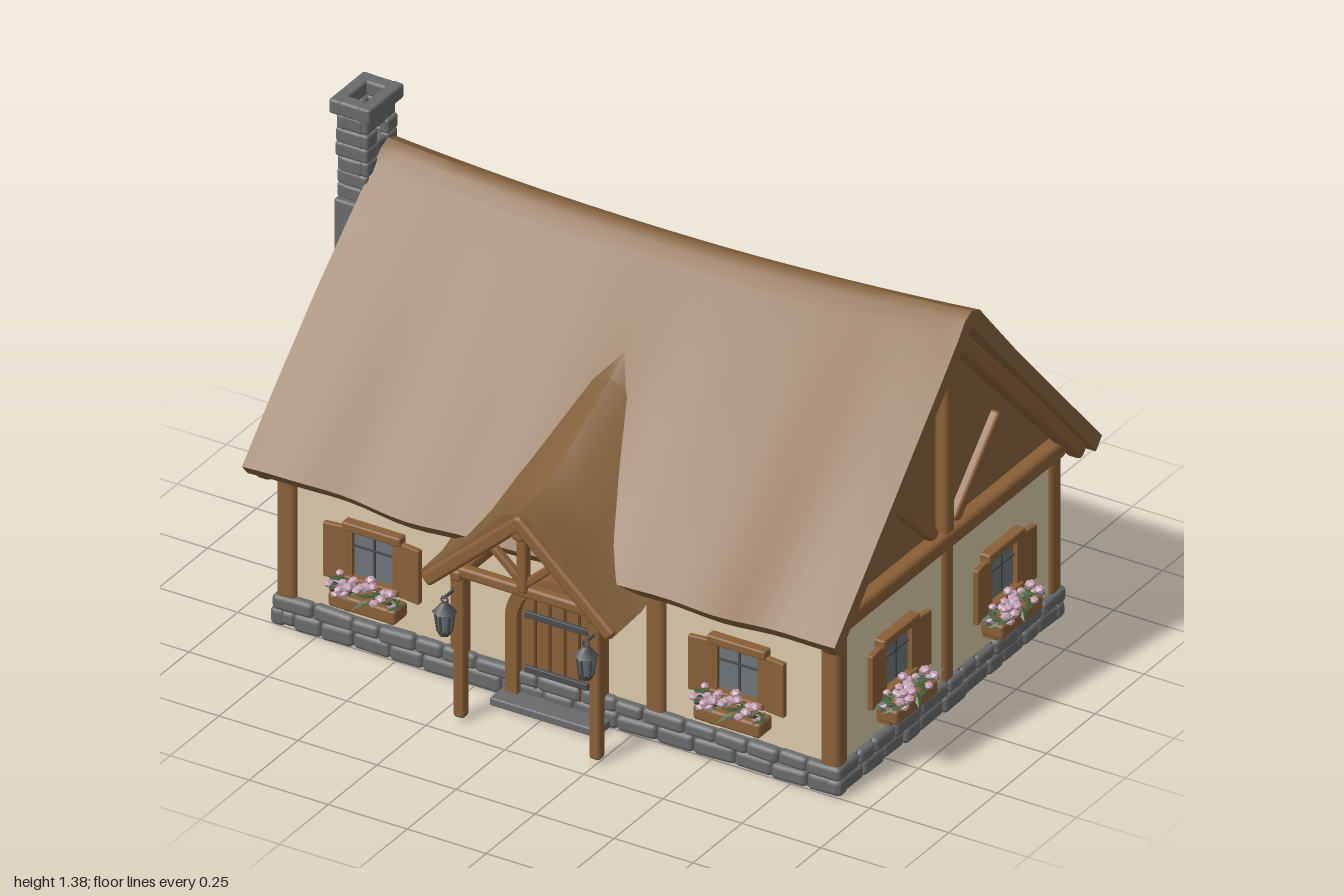
import * as THREE from 'three';
import { mergeGeometries, toCreasedNormals } from 'three/addons/utils/BufferGeometryUtils.js';
import { RoundedBoxGeometry } from 'three/addons/geometries/RoundedBoxGeometry.js';

const mat = (name, color) => Object.assign(new THREE.MeshStandardMaterial({ color }), { name });
const thatch = mat('thatch', 0x84623d), timber = mat('timber', 0x895f37), plaster = mat('plaster', 0xdac9a8);
const stone = mat('stone', 0x686b6a), iron = mat('iron', 0x494c4d), darkWood = mat('dark wood', 0x5f4228);
const glass = mat('glass', 0x6c767b), petal = mat('petals', 0xc3a0b2), leaf = mat('leaves', 0x435a38);

let seed = 7;
const rand = (a = 0, b = 1) => { seed = (seed * 16807) % 2147483647; return a + (b - a) * seed / 2147483647; };
const V = (x, y, z) => new THREE.Vector3(x, y, z);
const UP = V(0, 1, 0);

function add(parent, name, geo, material, x = 0, y = 0, z = 0) {
  const m = new THREE.Mesh(geo, material);
  m.name = name;
  m.position.set(x, y, z);
  parent.add(m);
  return m;
}
const rbox = (w, h, d, r = 0.2) => new RoundedBoxGeometry(w, h, d, 2, Math.min(w, h, d) * r);
const box = (w, h, d) => new THREE.BoxGeometry(w, h, d);

// squared log between two points
function beam(parent, name, a, b, w, d, material = timber) {
  const m = add(parent, name, rbox(w, a.distanceTo(b), d, 0.28), material);
  m.position.copy(a).add(b).multiplyScalar(0.5);
  m.quaternion.setFromUnitVectors(UP, b.clone().sub(a).normalize());
  return m;
}

// closed loop swept through sections, with both ends capped
function loft(sections, loop2d) {
  const pos = [], n = loop2d.length, last = sections.length - 1;
  const tri = (...p) => p.forEach(v => pos.push(v.x, v.y, v.z));
  for (let i = 0; i < last; i++) for (let j = 0; j < n; j++) {
    const k = (j + 1) % n, s = sections[i], t = sections[i + 1];
    tri(s[j], t[j], t[k]);
    tri(s[j], t[k], s[k]);
  }
  const dir = sections[last][0].clone().sub(sections[0][0]);
  for (const f of THREE.ShapeUtils.triangulateShape(loop2d, [])) {
    for (const [s, sign] of [[sections[0], -1], [sections[last], 1]]) {
      const [a, b, c] = f.map(i => s[i]);
      const normal = b.clone().sub(a).cross(c.clone().sub(a));
      normal.dot(dir) * sign > 0 ? tri(a, b, c) : tri(a, c, b);
    }
  }
  const g = new THREE.BufferGeometry();
  g.setAttribute('position', new THREE.Float32BufferAttribute(pos, 3));
  return toCreasedNormals(g, 0.75);
}

function mainRoof(parent) {
  const prof = [[.575, .5], [.605, .535], [.45, .7], [.25, .915], [.1, 1.075], [0, 1.185], [-.035, 1.23], [-.07, 1.245],
    [-.11, 1.23], [-.15, 1.185], [-.3, 1.02], [-.5, .81], [-.765, .535], [-.735, .5], [-.5, .752], [-.07, 1.195], [.3, .8]]
    .map(p => new THREE.Vector2(...p));
  const sections = [];
  for (let i = 0; i <= 36; i++) {
    const u = i / 36;
    sections.push(prof.map(p => {
      const t = (p.y - .5) / .75, x = THREE.MathUtils.lerp(-.92 + .045 * t * t, .95 + .022 * t, u);
      const wave = Math.sin(x * 8 + (p.x > 0 ? 1 : 3)) + .5 * Math.sin(x * 19);
      const sag = t * (-.035 + .05 * x * x + .008 * x);
      return V(x, p.y + sag + .007 * wave * (1 - t), p.x + .005 * Math.sin(x * 11) * (1 - t));
    }));
  }
  add(parent, 'mainThatchRoof', loft(sections, prof), thatch);
}

function porch(parent) {
  const g = new THREE.Group();
  g.name = 'porch';
  parent.add(g);
  // thatch that sweeps back up into the main roof
  const prof = [[-.29, -.305], [-.315, -.275], [-.24, -.21], [-.14, -.115], [-.06, -.028], [0, 0], [.06, -.028],
    [.14, -.115], [.24, -.21], [.315, -.275], [.29, -.305], [.14, -.155], [0, -.04], [-.14, -.155]]
    .map(p => new THREE.Vector2(...p));
  const stations = [[.15, .99], [.25, .925], [.35, .872], [.45, .818], [.54, .765], [.6, .742], [.66, .738], [.715, .735]];
  add(g, 'porchThatch', loft(stations.map(([z, y]) => prof.map(p => V(.025 + p.x, y + p.y, z))), prof), thatch);
  for (const s of [-1, 1]) {
    const x = .03 + s * .215;
    beam(g, 'porchRafter', V(.025 - s * .012, .715, .712), V(.025 + s * .295, .44, .712), .042, .04);
    beam(g, 'porchPost', V(x, .02, .675), V(x, .47, .675), .034, .034);
    beam(g, 'porchSideBeam', V(x, .47, .48), V(x, .47, .71), .035, .035);
    beam(g, 'porchBrace', V(.025, .5, .69), V(.025 + s * .1, .59, .69), .024, .024);
    // hanging lantern
    const l = new THREE.Group();
    l.name = 'lantern';
    l.position.set(x + (s < 0 ? -.018 : 0), .29, .73);
    g.add(l);
    add(l, 'lanternBase', new THREE.CylinderGeometry(.022, .016, .015, 6), iron, 0, .012, 0);
    add(l, 'lanternGlass', new THREE.CylinderGeometry(.025, .018, .06, 6), glass, 0, .048, 0);
    for (let i = 0; i < 6; i++) {
      const a = i * Math.PI / 3, sx = Math.sin(a), cz = Math.cos(a);
      beam(l, 'lanternBar', V(sx * .019, .015, cz * .019), V(sx * .027, .08, cz * .027), .006, .006, iron);
    }
    add(l, 'lanternCap', new THREE.CylinderGeometry(.01, .035, .028, 6), iron, 0, .09, 0);
    add(l, 'lanternRing', new THREE.TorusGeometry(.01, .003, 6, 12), iron, 0, .112, 0);
    beam(l, 'lanternHook', V(0, .12, .005), V(0, .12, -.05), .008, .008, iron);
  }
  beam(g, 'porchTieBeam', V(-.2, .48, .685), V(.255, .48, .685), .034, .034);
  beam(g, 'porchKingPost', V(.025, .48, .695), V(.025, .69, .695), .032, .032);
  beam(g, 'porchRidgePole', V(.025, .67, .5), V(.025, .67, .73), .04, .04);
}

// window geometry is built once and shared
const stems = [], blooms = [];
for (let i = 0; i < 26; i++) {
  const l = new THREE.OctahedronGeometry(1).scale(.03, .006, .012).rotateZ(rand(-.7, .7)).rotateY(rand(0, 6.3));
  stems.push(l.translate(rand(-.115, .115), rand(.195, .228), rand(.03, .085)));
}
for (let i = 0; i < 24; i++) {
  const x = rand(-.105, .105), r = rand(.011, .017);
  const f = new THREE.IcosahedronGeometry(r, 0).rotateY(rand(0, 3)).scale(1, .75, 1);
  blooms.push(f.translate(x, rand(.215, .258) - Math.abs(x) * .12, rand(.03, .092)));
}
const leafGeo = mergeGeometries(stems), bloomGeo = mergeGeometries(blooms);

function windowUnit(parent, x, z, turn) {
  const g = new THREE.Group();
  g.name = 'window';
  g.position.set(x, 0, z);
  g.rotation.y = turn;
  parent.add(g);
  add(g, 'pane', box(.14, .16, .008), glass, 0, .31, .004);
  add(g, 'leadUpright', box(.006, .14, .006), iron, 0, .31, .009);
  add(g, 'leadCrossbar', box(.14, .006, .006), iron, 0, .325, .009);
  add(g, 'lintel', rbox(.185, .027, .035), timber, 0, .387, .014);
  add(g, 'sill', rbox(.17, .02, .035), timber, 0, .225, .014);
  for (const s of [-1, 1]) {
    add(g, 'jamb', box(.016, .16, .024), timber, s * .072, .305, .01);
    add(g, 'shutter', rbox(.075, .168, .018), timber, s * .115, .297, .018).rotation.y = -s * .12;
    add(g, 'bracket', box(.014, .03, .04), timber, s * .07, .148, .02);
  }
  add(g, 'flowerBox', rbox(.212, .045, .07), timber, 0, .18, .045);
  add(g, 'leaves', leafGeo, leaf);
  add(g, 'flowers', bloomGeo, petal);
}

function arch(r, base, spring) {
  const s = new THREE.Shape();
  s.moveTo(-r, base).lineTo(r, base).lineTo(r, spring);
  s.absarc(0, spring, r, 0, Math.PI, false);
  return s;
}

function door(parent) {
  const g = new THREE.Group();
  g.name = 'door';
  g.position.set(.013, 0, .48);
  parent.add(g);
  const opts = depth => ({ depth, bevelEnabled: false, curveSegments: 16 });
  const frame = arch(.152, .025, .268);
  frame.holes.push(arch(.115, .026, .268));
  add(g, 'doorFrame', new THREE.ExtrudeGeometry(frame, opts(.045)), timber);
  add(g, 'doorLeaf', new THREE.ExtrudeGeometry(arch(.116, .03, .268), opts(.02)), timber);
  for (const x of [-.07, -.024, .024, .07]) add(g, 'plankGap', box(.008, .31, .004), darkWood, x, .19, .021);
  for (const y of [.115, .285]) add(g, 'hingeStrap', rbox(.2, .02, .012), iron, 0, y, .025);
  add(g, 'doorHandle', new THREE.SphereGeometry(.012, 10, 8), iron, .08, .2, .03);
  add(parent, 'doorStep', rbox(.34, .025, .1), stone, .013, .024, .525);
}

function stoneBase(parent) {
  add(parent, 'plinth', box(1.77, .09, 1.13), stone, .01, .056, -.0725);
  const list = [];
  const row = (from, to, y, h, place) => {
    for (let p = from; p < to - .01;) {
      let w = rand(.07, .14);
      if (to - p - w < .05) w = to - p;
      list.push(place(rbox(w, h + rand(-.004, .006), .045, .32).rotateZ(rand(-.04, .04)).translate(p + w / 2, y, rand(-.005, .004))));
      p += w;
    }
  };
  for (const [y, h] of [[.036, .05], [.08, .045]]) {
    row(-.89, .91, y, h, q => q.translate(0, 0, .488));
    row(-.89, .91, y, h, q => q.translate(0, 0, -.633));
    row(-.51, .65, y, h, q => q.rotateY(Math.PI / 2).translate(.888, 0, 0));
    row(-.51, .65, y, h, q => q.rotateY(Math.PI / 2).translate(-.868, 0, 0));
  }
  add(parent, 'foundationStones', mergeGeometries(list), stone);
}

function chimney(parent) {
  const g = new THREE.Group();
  g.name = 'chimney';
  g.position.set(-.928, 0, -.042);
  parent.add(g);
  add(g, 'chimneyStack', rbox(.1, 1.075, .19, .08), stone, .004, .545, 0);
  // hollow stone shaft with a small vent
  const list = [];
  for (let r = 0; r < 6; r++) {
    const y = 1.1 + r * .043;
    for (const s of [-1, 1]) {
      for (const k of [-1, 0, 1]) {
        if (k === 0 && r === 4) continue;
        list.push(rbox(.03, .045, .055, .3).translate(s * (.034 + rand(-.003, .004)), y, k * .05 + rand(-.004, .004)));
      }
      list.push(rbox(.07, .045, .03, .3).translate(rand(-.006, .006), y, s * (.062 + rand(-.003, .004))));
    }
  }
  add(g, 'chimneyStones', mergeGeometries(list), stone);
  for (const s of [-1, 1]) {
    add(g, 'capLong', rbox(.038, .045, .18), stone, s * .046, 1.362, 0);
    add(g, 'capShort', rbox(.07, .045, .045), stone, 0, 1.362, s * .067);
  }
}

function gable(parent, x, s) {
  const g = new THREE.Group();
  g.name = 'gableTruss';
  parent.add(g);
  beam(g, 'tieBeam', V(x, .535, .51), V(x, .535, -.655), .055, .055);
  beam(g, 'kingPost', V(x, .55, -.068), V(x, 1.15, -.068), .045, .046);
  for (const [zEnd, zTop, zLow] of [[.565, .21, -.02], [-.72, -.35, -.12]]) {
    beam(g, 'rakeBeam', V(x + s * .022, 1.165, -.07), V(x + s * .022, .495, zEnd), .05, .056);
    beam(g, 'brace', V(x - s * .008, .56, zLow), V(x - s * .008, .785, zTop), .035, .04);
  }
  beam(g, 'ridgePole', V(x - s * .1, 1.14, -.07), V(x + s * .055, 1.14, -.07), .055, .055);
  // patch of bare plaster
  const patch = new THREE.Shape([[.27, .56], [.46, .56], [.42, .615], [.37, .66], [.35, .6]].map(p => new THREE.Vector2(...p)));
  const m = add(g, 'plasterPatch', new THREE.ExtrudeGeometry(patch, { depth: .006, bevelEnabled: false }), plaster, x - s * .027, 0, -.07);
  m.rotation.y = s * Math.PI / 2;
}

export function createModel() {
  const house = new THREE.Group();
  house.name = 'cottage';
  add(house, 'plasterWalls', box(1.76, .46, 1.115), plaster, .01, .31, -.0725);
  stoneBase(house);

  // attic infill between the gables
  const tri = new THREE.Shape([[.48, .535], [.5, .56], [-.07, 1.17], [-.65, .56], [-.63, .535]].map(p => new THREE.Vector2(-p[0], p[1])));
  add(house, 'atticInfill', new THREE.ExtrudeGeometry(tri, { depth: 1.72, bevelEnabled: false }), thatch, -.85, 0, 0).rotation.y = Math.PI / 2;

  // wall posts
  for (const z of [.475, -.62]) {
    for (const x of [-.85, -.302, .318, .872]) beam(house, 'wallPost', V(x, .09, z), V(x, .53, z), .06, .056);
    beam(house, 'wallPlate', V(-.88, .515, z), V(.9, .515, z), .04, .045);
  }
  for (const x of [-.852, .877]) beam(house, 'sidePost', V(x, .09, -.066), V(x, .53, -.066), .055, .048);

  gable(house, .885, 1);
  gable(house, -.865, -1);
  mainRoof(house);
  porch(house);
  door(house);
  chimney(house);

  for (const x of [-.57, .585]) windowUnit(house, x, .485, 0);
  for (const x of [-.58, .01, .595]) windowUnit(house, x, -.63, Math.PI);
  for (const z of [.205, -.335]) {
    windowUnit(house, .89, z, Math.PI / 2);
    windowUnit(house, -.87, z, -Math.PI / 2);
  }
  return house;
}
